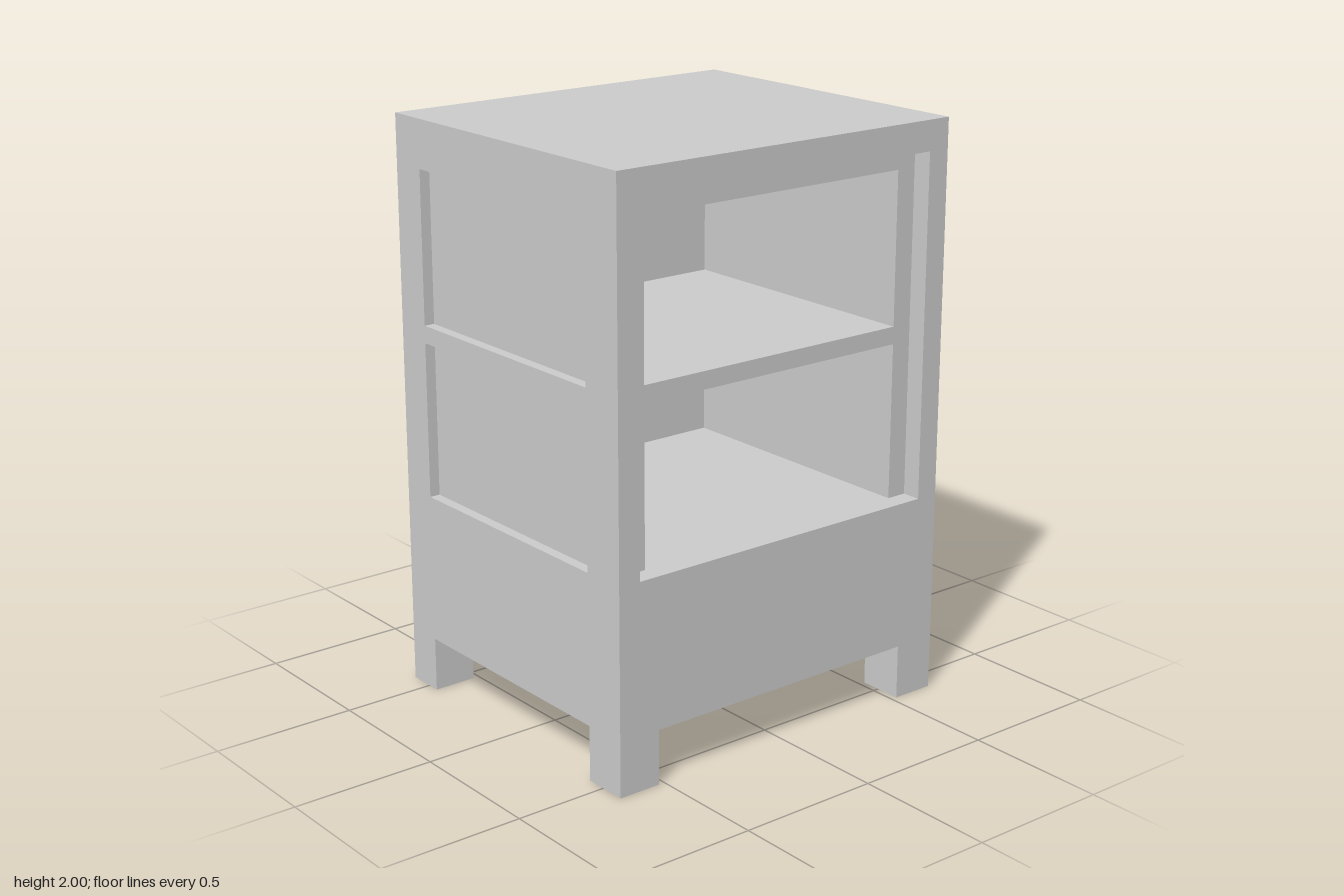
import * as THREE from 'three';

const W = 0.59, D = 0.675, H = 2;          // half width, half depth, height
const LEG = 0.19, RECESS = 0.037;          // leg height, panel recess depth
const X0 = -0.455, X1 = 0.43, Z1 = 0.522;  // inner edges of the legs and panels
const FRAME_X = 0.522;                     // face of the inset shelf frame
const BAYS = [[0.71, 1.25], [1.31, 1.835]]; // lower and upper bay heights
const inner = D - RECESS;

const material = new THREE.MeshStandardMaterial({ color: 0xcccccc, flatShading: true });

const polygon = (pts, Type = THREE.Shape) => new Type(pts.map(p => new THREE.Vector2(...p)));
const rect = (a0, a1, b0, b1) => [[a0, b0], [a1, b0], [a1, b1], [a0, b1]];

function add(parent, name, geometry, x = 0, y = 0, z = 0) {
  const mesh = new THREE.Mesh(geometry, material);
  mesh.name = name;
  mesh.position.set(x, y, z);
  parent.add(mesh);
  return mesh;
}

function slab(outline, holes, depth) {
  const shape = polygon(outline);
  shape.holes = holes.map(h => polygon([...h].reverse(), THREE.Path));
  return new THREE.ExtrudeGeometry(shape, { depth, bevelEnabled: false });
}

export function createModel() {
  const group = new THREE.Group();
  group.name = 'nightstand';

  // Front and back faces: legs at the bottom, two panel cut-outs
  const outline = [[-W, 0], [X0, 0], [X0, LEG], [X1, LEG], [X1, 0], [W, 0], [W, H], [-W, H]];
  const faceGeo = slab(outline, BAYS.map(b => rect(X0, X1, ...b)), RECESS);
  add(group, 'frontFace', faceGeo, 0, 0, inner);
  add(group, 'backFace', faceGeo, 0, 0, -D);

  // Cabinet core with two open bays, divided by the shelf
  const side = rect(-inner, inner, LEG, H);
  const core = slab(side, BAYS.map(b => rect(-Z1, Z1, ...b)), FRAME_X - X0).rotateY(Math.PI / 2);
  add(group, 'shelfCore', core, X0);

  // Raised rim around the open side
  const rim = slab(side, [rect(-0.595, 0.595, 0.71, 1.897)], W - FRAME_X).rotateY(Math.PI / 2);
  add(group, 'openSideRim', rim, FRAME_X);

  // Closed side
  add(group, 'closedSide', new THREE.BoxGeometry(X0 + W, H - LEG, 2 * inner), (X0 - W) / 2, (H + LEG) / 2);

  // Leg blocks behind the front and back faces
  for (const [a, b] of [[-W, X0], [X1, W]]) {
    for (const s of [-1, 1]) {
      add(group, 'leg', new THREE.BoxGeometry(b - a, LEG, inner - Z1), (a + b) / 2, LEG / 2, s * (inner + Z1) / 2);
    }
  }
  return group;
}
